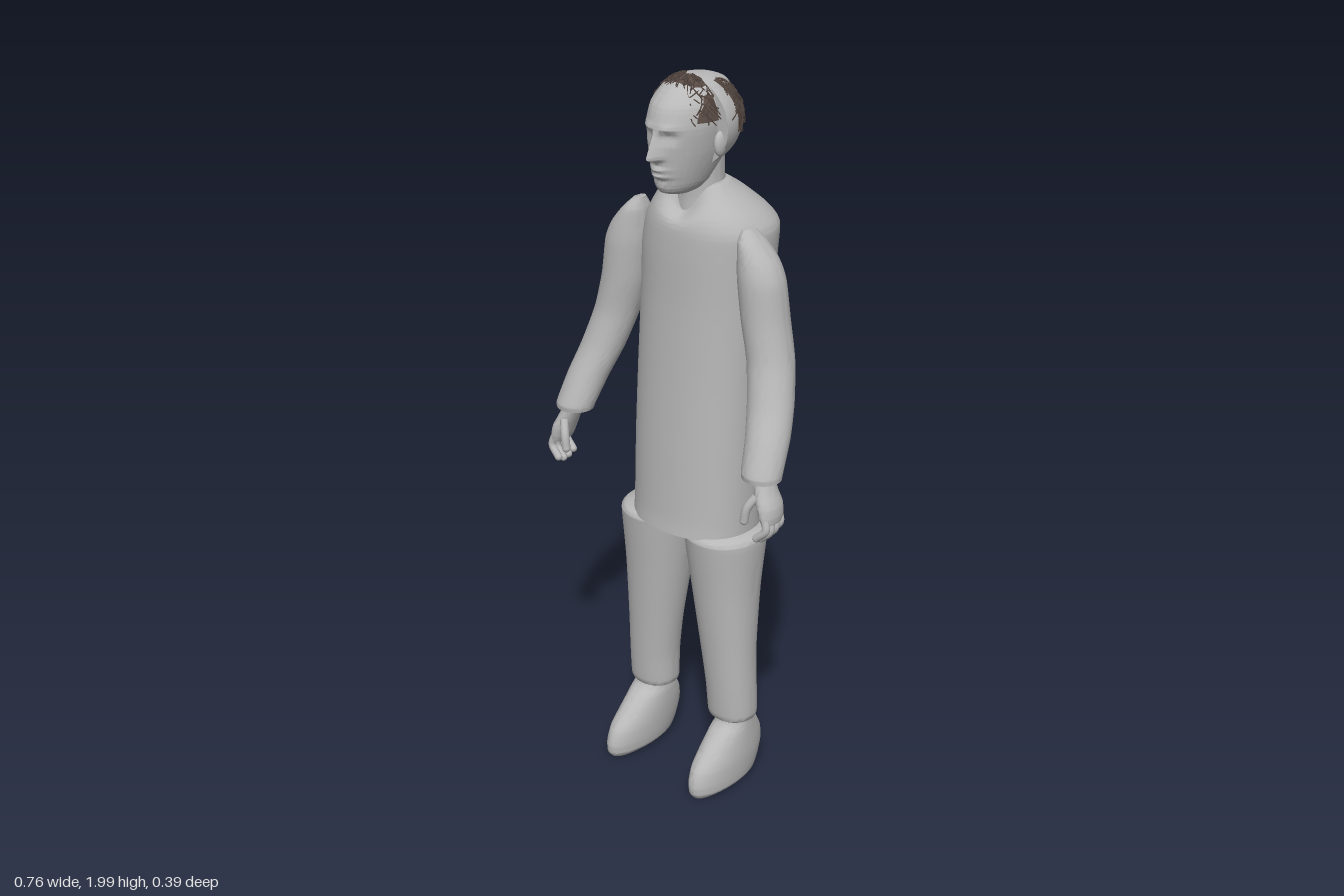
import * as THREE from 'three';
import { mergeGeometries, toCreasedNormals } from 'three/addons/utils/BufferGeometryUtils.js';

const grey = new THREE.MeshStandardMaterial({ name: 'plain grey', color: 0xb8b8b8, side: THREE.DoubleSide });
const brown = new THREE.MeshStandardMaterial({ name: 'dark brown hair', color: 0x5a4c45, side: THREE.DoubleSide });

// Closed loft through level rings, bottom to top: [y, xMin, xMax, zBack, zFront]
function loft(sections, { rings = 30, segs = 40, power = 1, shape } = {}) {
  const xs = new THREE.CatmullRomCurve3(sections.map(s => new THREE.Vector3(s[1], s[0], s[2])), false, 'catmullrom', 0.35);
  const zs = new THREE.CatmullRomCurve3(sections.map(s => new THREE.Vector3(s[3], s[0], s[4])), false, 'catmullrom', 0.35);
  const pos = [], idx = [];
  const bend = c => Math.sign(c) * Math.abs(c) ** power;
  const put = (x, y, z) => {
    const p = new THREE.Vector3(x, y, z);
    if (shape) shape(p);
    pos.push(p.x, p.y, p.z);
  };
  for (let j = 0; j <= rings; j++) {
    const a = xs.getPoint(j / rings), b = zs.getPoint(j / rings);
    for (let i = 0; i < segs; i++) {
      const t = (i / segs) * Math.PI * 2;
      put((a.x + a.z) / 2 + (a.z - a.x) / 2 * bend(Math.cos(t)), a.y,
        (b.x + b.z) / 2 + (b.z - b.x) / 2 * bend(Math.sin(t)));
    }
  }
  const ends = [sections[0], sections[sections.length - 1]];
  ends.forEach(s => put((s[1] + s[2]) / 2, s[0], (s[3] + s[4]) / 2));
  const low = (rings + 1) * segs, high = low + 1;
  for (let i = 0; i < segs; i++) {
    const n = (i + 1) % segs, top = rings * segs;
    for (let j = 0; j < rings; j++) {
      const p = j * segs;
      idx.push(p + i, p + segs + i, p + n, p + n, p + segs + i, p + segs + n);
    }
    idx.push(low, i, n, high, top + n, top + i);
  }
  const g = new THREE.BufferGeometry();
  g.setAttribute('position', new THREE.Float32BufferAttribute(pos, 3));
  g.setIndex(idx);
  return toCreasedNormals(g, 0.8);
}

const bump = (d, w) => Math.exp(-((d / w) ** 2));
const mirrored = (sections, side) =>
  side > 0 ? sections : sections.map(([y, a, b, c, d]) => [y, -b - 0.005, -a - 0.005, c, d]);

function add(parent, name, geometry, material = grey) {
  const m = new THREE.Mesh(geometry, material);
  m.name = name;
  parent.add(m);
  return m;
}

// Long coat with a neckline dipping at the front
function buildCoat(root) {
  add(root, 'coat', loft([
    [0.77, -0.18, 0.178, -0.15, 0.135], [0.82, -0.18, 0.178, -0.15, 0.13], [1.0, -0.18, 0.178, -0.152, 0.122],
    [1.2, -0.178, 0.18, -0.163, 0.112], [1.4, -0.173, 0.185, -0.176, 0.104], [1.53, -0.17, 0.19, -0.188, 0.103],
    [1.6, -0.158, 0.19, -0.192, 0.1], [1.64, -0.135, 0.165, -0.165, 0.092],
    [1.69, -0.1, 0.115, -0.11, 0.068], [1.72, -0.078, 0.088, -0.065, 0.05],
  ], {
    rings: 54, segs: 56, power: 0.9,
    shape: p => {
      const front = Math.max(0, (p.z - 0.01) / 0.05);
      const rise = THREE.MathUtils.smoothstep(p.y, 1.6, 1.72);
      p.y -= 0.06 * Math.min(1, front) * rise * bump(p.x - 0.01, 0.055);
    },
  }));
}

// Trouser legs, shoes, sleeves and hands, one set per side
function buildLimbs(root, side) {
  const prefix = side > 0 ? 'left' : 'right';
  add(root, prefix + 'TrouserLeg', loft(mirrored([
    [0.2, 0.08, 0.195, -0.045, 0.06], [0.21, 0.07, 0.208, -0.055, 0.068], [0.3, 0.065, 0.208, -0.055, 0.075],
    [0.42, 0.05, 0.206, -0.058, 0.084], [0.6, 0.024, 0.208, -0.08, 0.1],
    [0.74, 0.005, 0.215, -0.105, 0.116], [0.765, 0.004, 0.213, -0.108, 0.118], [0.775, 0.02, 0.2, -0.095, 0.105],
  ], side), { rings: 36, power: 0.95 }));

  add(root, prefix + 'Shoe', loft(mirrored([
    [0.005, 0.115, 0.185, -0.05, 0.175], [0.02, 0.1, 0.2, -0.065, 0.188], [0.05, 0.095, 0.203, -0.08, 0.19],
    [0.09, 0.093, 0.203, -0.092, 0.175], [0.13, 0.093, 0.2, -0.088, 0.135],
    [0.165, 0.095, 0.197, -0.07, 0.095], [0.19, 0.1, 0.195, -0.05, 0.062], [0.23, 0.1, 0.192, -0.04, 0.05],
  ], side), { rings: 35 }));

  add(root, prefix + 'Sleeve', loft(mirrored([
    [1.03, 0.267, 0.37, 0.068, 0.166], [1.045, 0.263, 0.37, 0.062, 0.166], [1.12, 0.247, 0.36, 0.02, 0.135],
    [1.2, 0.222, 0.342, -0.018, 0.1], [1.3, 0.195, 0.317, -0.05, 0.073], [1.4, 0.17, 0.295, -0.058, 0.067],
    [1.5, 0.157, 0.28, -0.056, 0.066], [1.55, 0.155, 0.258, -0.05, 0.06],
    [1.595, 0.157, 0.22, -0.035, 0.05], [1.625, 0.165, 0.188, -0.012, 0.03],
  ], side), { rings: 45 }));

  const hand = new THREE.Group();
  hand.name = prefix + 'Hand';
  root.add(hand);
  add(hand, 'palm', loft(mirrored([
    [0.925, 0.345, 0.378, 0.092, 0.165], [0.94, 0.337, 0.38, 0.086, 0.168], [0.97, 0.325, 0.376, 0.082, 0.167],
    [1.0, 0.312, 0.362, 0.085, 0.158], [1.05, 0.292, 0.34, 0.085, 0.145],
  ], side), { rings: 16, segs: 24 }));
  const digit = (name, points, r) => {
    const path = points.map(([x, y, z]) => new THREE.Vector3(x * side - (side < 0 ? 0.005 : 0), y, z));
    const tip = new THREE.SphereGeometry(r, 10, 8).translate(...path[path.length - 1].toArray());
    add(hand, name, mergeGeometries([new THREE.TubeGeometry(new THREE.CatmullRomCurve3(path), 10, r, 10), tip]));
  };
  for (let i = 0; i < 4; i++) {
    const z = 0.1 + i * 0.019, drop = [0.012, 0.003, 0, 0.008][i];
    digit('finger', [[0.362, 0.94, z], [0.368, 0.905 + drop, z + 0.003], [0.342, 0.877 + drop, z + 0.007]], 0.0105);
  }
  digit('thumb', [[0.33, 0.995, 0.15], [0.312, 0.96, 0.167], [0.306, 0.925, 0.17]], 0.0115);
}

// Head with sculpted face, neck and rounded rear shell
function buildHead(root) {
  const head = new THREE.Group();
  head.name = 'head';
  root.add(head);
  add(head, 'neck', loft([
    [1.6, -0.055, 0.085, -0.065, 0.065], [1.68, -0.048, 0.078, -0.062, 0.058],
    [1.74, -0.045, 0.075, -0.062, 0.06], [1.82, -0.045, 0.075, -0.06, 0.06],
  ]));
  add(head, 'face', loft([
    [1.705, -0.01, 0.04, 0.03, 0.11], [1.715, -0.026, 0.056, 0.0, 0.14], [1.735, -0.04, 0.07, -0.03, 0.152],
    [1.775, -0.054, 0.084, -0.06, 0.16], [1.82, -0.064, 0.096, -0.08, 0.164], [1.88, -0.072, 0.104, -0.09, 0.168],
    [1.93, -0.068, 0.1, -0.09, 0.152], [1.965, -0.05, 0.082, -0.07, 0.118],
    [1.982, -0.025, 0.055, -0.03, 0.08], [1.987, 0.005, 0.027, 0.01, 0.04],
  ], {
    rings: 90, segs: 90,
    shape: p => {
      if (p.z < 0.06) return;
      const x = p.x - 0.016, y = p.y, ax = Math.abs(x);
      const ridge = THREE.MathUtils.clamp((1.88 - y) / 0.065, 0, 1) * THREE.MathUtils.smoothstep(y, 1.793, 1.812);
      p.z += 0.036 * ridge * bump(x, 0.008 + 0.008 * ridge);
      p.z -= 0.014 * bump(ax - 0.031, 0.017) * bump(y - 1.862, 0.012);
      p.z += 0.007 * bump(ax - 0.031, 0.01) * bump(y - 1.86, 0.006);
      p.z += 0.006 * bump(ax - 0.03, 0.024) * bump(y - 1.885, 0.008);
      p.z += 0.009 * bump(x, 0.024) * (bump(y - 1.778, 0.006) + bump(y - 1.762, 0.006));
      p.z -= 0.006 * bump(x, 0.03) * bump(y - 1.746, 0.007);
    },
  }));
  const shell = new THREE.SphereGeometry(1, 32, 24, Math.PI, Math.PI);
  add(head, 'rearShell', shell.scale(0.12, 0.112, 0.136).translate(0.016, 1.873, 0.04));
  add(head, 'shellRim', new THREE.CircleGeometry(1, 40).scale(0.12, 0.112, 1).translate(0.016, 1.873, 0.04));
  for (const s of [-1, 1])
    add(head, 'ear', new THREE.SphereGeometry(1, 16, 12).scale(0.013, 0.032, 0.02).translate(0.016 + s * 0.096, 1.835, 0.04));
}

// Two thatches of loose strands over thin scalp patches
function buildHair(root) {
  let seed = 7;
  const rand = (a, b) => {
    seed = (seed * 16807) % 2147483647;
    return a + (b - a) * seed / 2147483647;
  };
  const thatch = (name, count, [rx, ry, rz], cy, phi, theta) => {
    const group = new THREE.Group();
    group.name = name;
    root.add(group);
    const at = (p, t, k) => new THREE.Vector3(
      0.016 - rx * k * Math.cos(p) * Math.sin(t), cy + ry * k * Math.cos(t), 0.04 + rz * k * Math.sin(p) * Math.sin(t));
    const strands = [];
    for (let i = 0; i < count; i++) {
      const p = rand(...phi), t = rand(theta[0], theta[1] - 0.3), dp = rand(-0.35, 0.35), dt = rand(0.1, 0.35);
      const path = [at(p, t, 1.0), at(p + dp / 2, t + dt / 2, 1.025), at(p + dp, t + dt, rand(0.99, 1.05))];
      strands.push(new THREE.TubeGeometry(new THREE.CatmullRomCurve3(path), 4, 0.0018, 3));
    }
    add(group, 'strands', mergeGeometries(strands), brown);
    const patch = new THREE.SphereGeometry(1, 28, 16, phi[0], phi[1] - phi[0], theta[0], theta[1] - theta[0] - 0.1);
    add(group, 'scalpPatch', patch.scale(rx, ry, rz).translate(0.016, cy, 0.04), brown);
  };
  thatch('frontHair', 190, [0.097, 0.118, 0.103], 1.875, [0.05, Math.PI - 0.05], [0.1, 1.5]);
  thatch('backHair', 260, [0.121, 0.117, 0.139], 1.876, [Math.PI + 0.35, Math.PI * 2 - 0.35], [0.5, 1.85]);
}

export function createModel() {
  const root = new THREE.Group();
  root.name = 'standingMan';
  buildCoat(root);
  for (const side of [-1, 1]) buildLimbs(root, side);
  buildHead(root);
  buildHair(root);
  return root;
}
